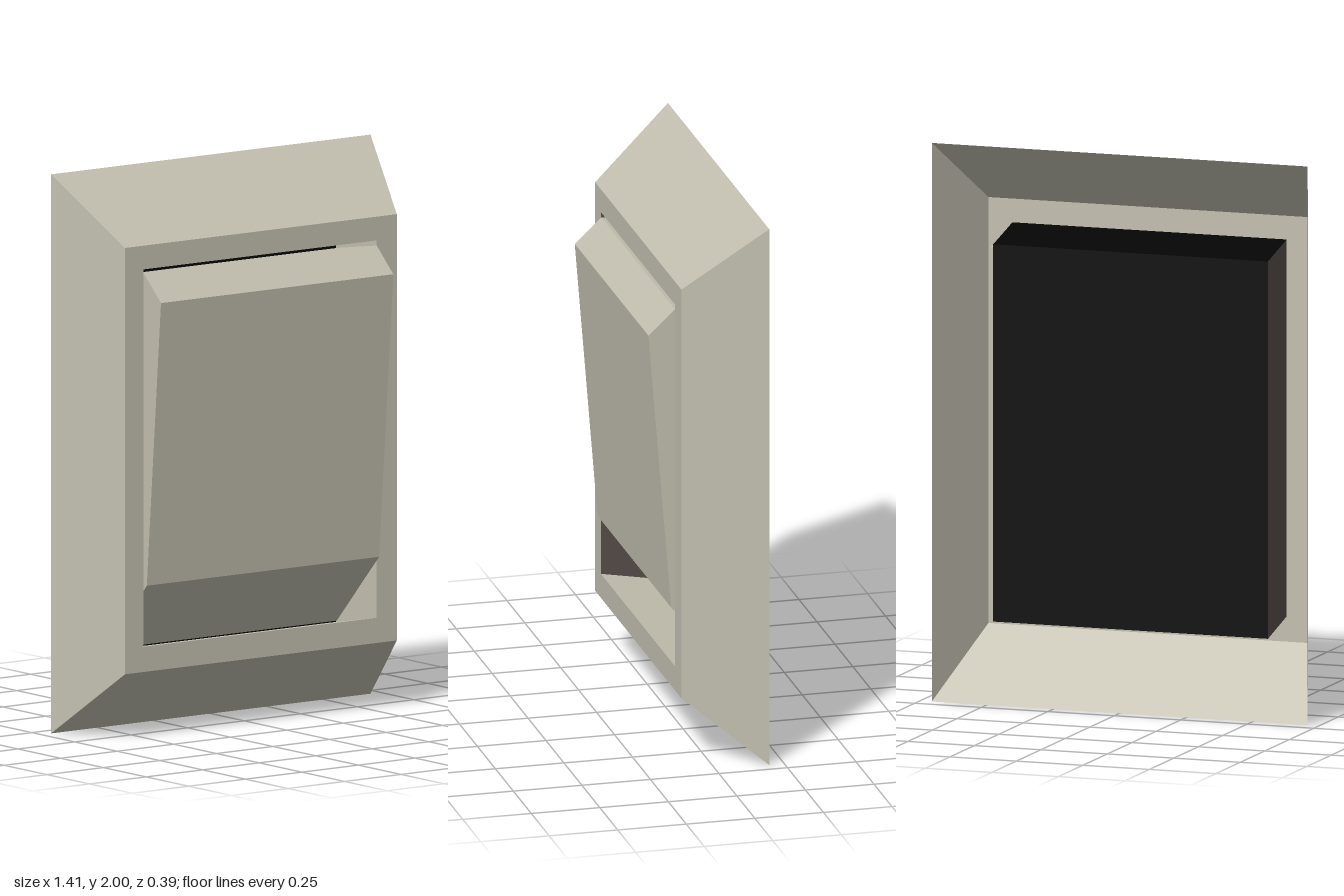
import * as THREE from 'three';

const paint = (name, color) => {
  const m = new THREE.MeshStandardMaterial({ color, side: THREE.DoubleSide });
  m.name = name;
  return m;
};

// corners of a rectangle, counter-clockwise seen from the front
const rect = (x0, x1, y0, y1) => [[x0, y0], [x1, y0], [x1, y1], [x0, y1]];
const toPoints = (list) => list.map(([x, y]) => new THREE.Vector2(x, y));

// four sides joining a back rectangle to a front one; groups: bottom, left, top, right
function joinSides(back, zBack, front, zFront) {
  const pos = [];
  const g = new THREE.BufferGeometry();
  for (let i = 0; i < 4; i++) {
    const j = (i + 1) % 4;
    const a = [...back[i], zBack], b = [...back[j], zBack];
    const c = [...front[j], zFront], d = [...front[i], zFront];
    pos.push(...a, ...b, ...c, ...a, ...c, ...d);
    g.addGroup(i * 6, 6, i);
  }
  g.setAttribute('position', new THREE.Float32BufferAttribute(pos, 3));
  g.computeVertexNormals();
  return g;
}

export function createModel() {
  const group = new THREE.Group();
  group.name = 'rockerSwitch';
  const cream = paint('cream plastic', 0xc3c0b0);
  const black = paint('black', 0x050505);
  const brown = paint('dark brown', 0x59504b);

  const add = (name, geometry, material) => {
    const mesh = new THREE.Mesh(geometry, material);
    mesh.name = name;
    group.add(mesh);
  };

  const zBack = -0.195, zFace = 0.098, zWell = -0.125;
  const face = rect(-0.601, 0.601, 0.24, 1.765);
  const hole = rect(-0.52, 0.511, 0.33, 1.68);
  const wellBack = rect(-0.532, 0.501, 0.287, 1.638);

  // open-backed surround with sloping sides
  add('frameSides', joinSides(rect(-0.706, 0.706, 0, 2), zBack, face, zFace), cream);

  // flat front of the surround, cut out for the well
  const front = new THREE.Shape(toPoints(face));
  front.holes.push(new THREE.Path(toPoints(hole)));
  add('frameFront', new THREE.ShapeGeometry(front).translate(0, 0, zFace), cream);

  // well behind the opening, leaning down and slightly aside towards its back
  add('wellSides', joinSides(wellBack, zWell, hole, zFace), [cream, cream, black, brown]);
  add('wellBack', new THREE.ShapeGeometry(new THREE.Shape(toPoints(wellBack))).translate(0, 0, zWell), black);

  // tilted rocker: side profile given as (z, y), swept across the width
  const profile = new THREE.Shape(toPoints([
    [-0.121, 0.292], [0.112, 0.55], [0.195, 1.572], [0.098, 1.662], [-0.121, 1.625],
  ]));
  const x0 = -0.515, x1 = 0.512;
  const rocker = new THREE.ExtrudeGeometry(profile, { depth: x1 - x0, bevelEnabled: false });
  rocker.rotateY(-Math.PI / 2).translate(x1, 0, 0);
  add('rocker', rocker, cream);

  return group;
}
